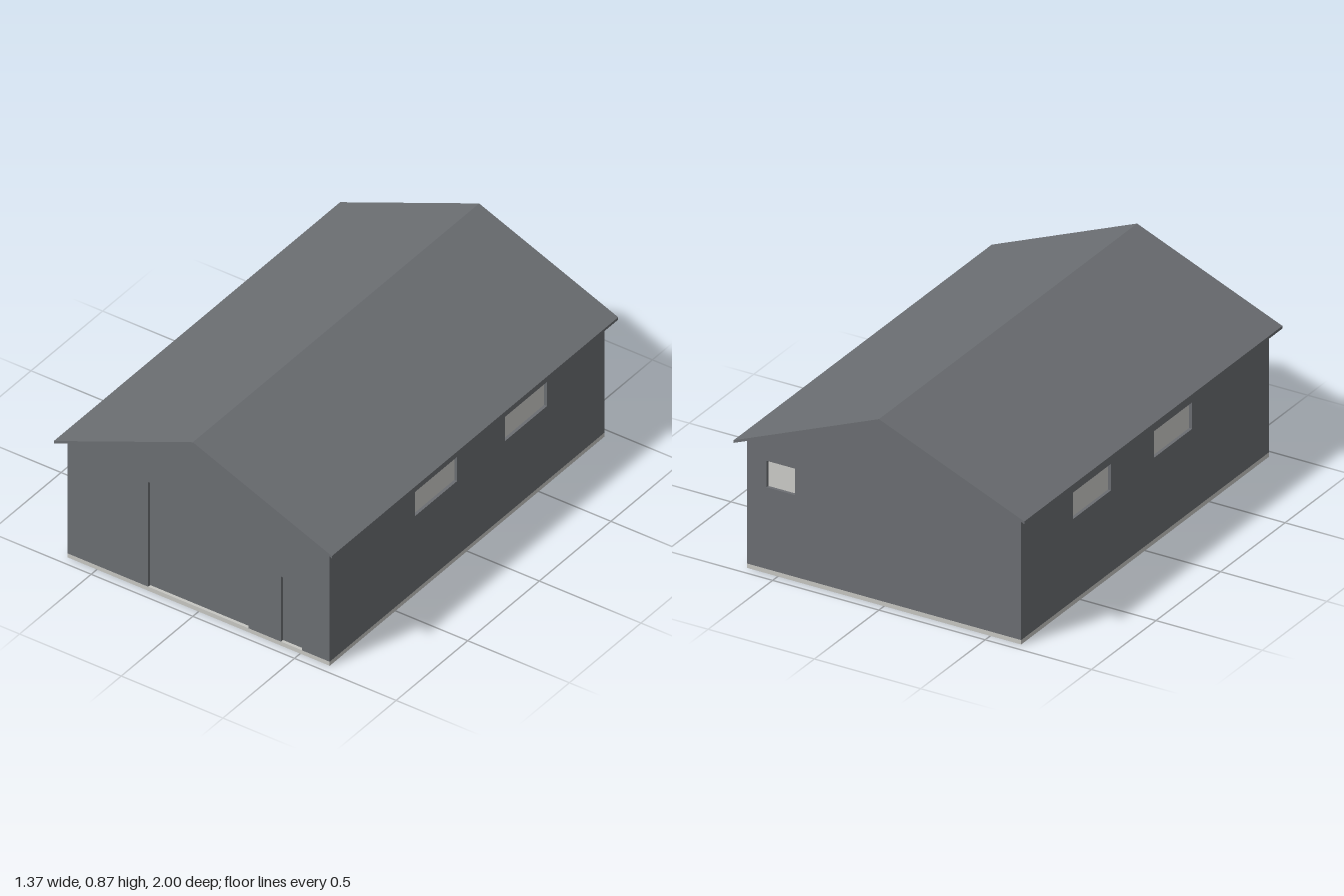
import * as THREE from 'three';

const W = 0.645, D = 0.96;            // half width and half depth of the walls
const BASE = 0.02, T = 0.024;         // slab height, wall thickness
const RECESS = 0.014;                 // how far doors and windows sit back
const RIDGE = 0.853, SLOPE = 0.409;   // roof underside
const SILL = 0.39, HEAD = 0.51;       // window row

const material = (name, color) => {
  const m = new THREE.MeshStandardMaterial({ color });
  m.name = name;
  return m;
};

const outline = (pts) => new THREE.Shape(pts.map(([x, y]) => new THREE.Vector2(x, y)));

export function createModel() {
  const group = new THREE.Group();
  const cladding = material('grey cladding', 0x6b6e72);
  const glass = material('pale window', 0xcbcbc8);
  const concrete = material('pale concrete', 0xc6c6c2);

  const add = (parent, name, geometry, mat, x = 0, y = 0, z = 0) => {
    const mesh = new THREE.Mesh(geometry, mat);
    mesh.name = name;
    mesh.position.set(x, y, z);
    parent.add(mesh);
    return mesh;
  };

  // A wall faces local +z with its outer face at z = 0.
  // Windows are [x0, x1] spans; doors are [x0, x1, top] notches from the floor.
  const wall = (name, half, gable, windows, doors = []) => {
    const g = new THREE.Group();
    g.name = name;
    const eave = RIDGE - SLOPE * W;
    const pts = [[-half, BASE]];
    for (const [a, b, top] of doors) pts.push([a, BASE], [a, top], [b, top], [b, BASE]);
    pts.push([half, BASE], [half, eave]);
    if (gable) pts.push([0, RIDGE]);
    pts.push([-half, eave]);
    const shape = outline(pts);
    for (const [a, b] of windows) {
      shape.holes.push(outline([[a, SILL], [a, HEAD], [b, HEAD], [b, SILL]]));
    }
    const panel = new THREE.ExtrudeGeometry(shape, { depth: T, bevelEnabled: false });
    add(g, name + 'Panel', panel, cladding, 0, 0, -T);

    // Recessed infill plates
    const infill = (label, a, b, y0, y1, mat) => add(g, label,
      new THREE.BoxGeometry(b - a, y1 - y0, 0.008), mat,
      (a + b) / 2, (y0 + y1) / 2, -RECESS - 0.004);
    for (const [a, b] of windows) infill('window', a, b, SILL, HEAD, glass);
    for (const [a, b, top] of doors) infill('door', a, b, BASE, top, cladding);
    group.add(g);
    return g;
  };

  // Concrete floor slab
  add(group, 'floorSlab', new THREE.BoxGeometry(2 * W, BASE, 2 * D), concrete, 0, BASE / 2, 0);

  // Gable walls: large and small door in front, one window behind
  wall('frontWall', W, true, [], [[-0.248, 0.245, 0.54], [0.405, 0.508, 0.343]]).position.z = D;
  const back = wall('backWall', W, true, [[-0.553, -0.418]]);
  back.rotation.y = Math.PI;
  back.position.z = -D;

  // Long side walls, fitted between the gables, with two windows each
  const spans = [[-0.365, -0.07], [0.265, 0.558]];
  for (const side of [1, -1]) {
    const windows = side > 0 ? spans : spans.map(([a, b]) => [-b, -a]).reverse();
    const w = wall(side > 0 ? 'leftWall' : 'rightWall', D - T, false, windows);
    w.rotation.y = side * Math.PI / 2;
    w.position.x = side * W;
  }

  // Thin pitched roof overhanging all round
  const E = 0.684, drop = SLOPE * E, thick = 0.012;
  const roof = outline([
    [-E, RIDGE - drop], [0, RIDGE], [E, RIDGE - drop],
    [E, RIDGE - drop + thick], [0, RIDGE + thick], [-E, RIDGE - drop + thick],
  ]);
  add(group, 'roof', new THREE.ExtrudeGeometry(roof, { depth: 2, bevelEnabled: false }), cladding, 0, 0, -1);

  return group;
}
